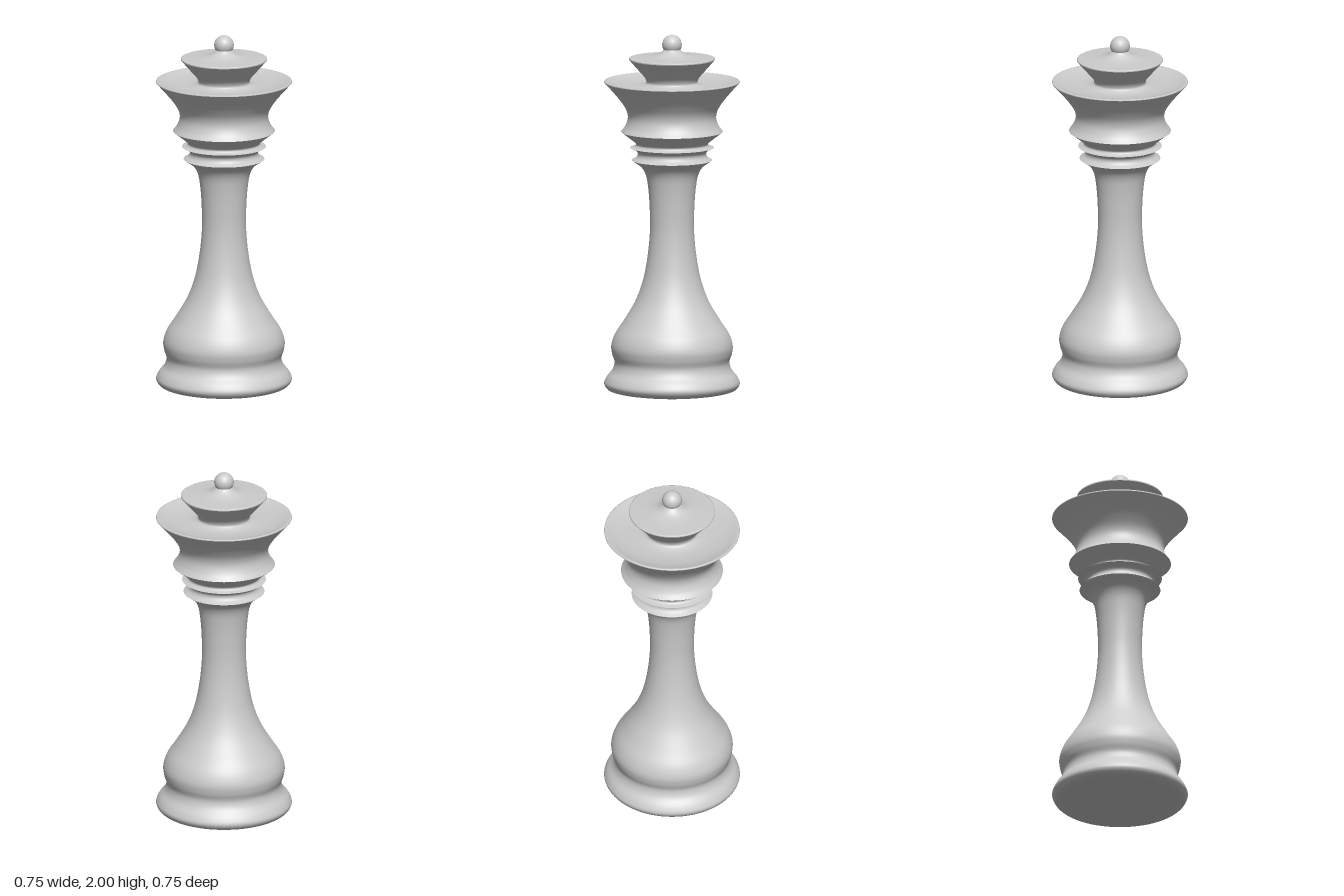
import * as THREE from 'three';

const material = new THREE.MeshStandardMaterial({ color: 0xcccccc, side: THREE.DoubleSide });

// Turns a smooth curve through [radius, height] points around the y axis
function turned(name, points, steps) {
  const curve = new THREE.CatmullRomCurve3(points.map(([r, y]) => new THREE.Vector3(r, y, 0)), false, 'centripetal');
  const profile = curve.getPoints(steps).map(p => new THREE.Vector2(Math.max(p.x, 0), p.y));
  const mesh = new THREE.Mesh(new THREE.LatheGeometry(profile, 96), material);
  mesh.name = name;
  return mesh;
}

export function createModel() {
  const group = new THREE.Group();
  group.name = 'chessPiece';

  // Each part ends at a sharp edge where the next begins
  const parts = [
    ['underside', [[0, 0], [0.15, 0.005], [0.25, 0.013], [0.32, 0.024]], 12],
    ['baseAndStem', [
      [0.32, 0.024], [0.355, 0.036], [0.373, 0.065], [0.36, 0.1], [0.326, 0.145], [0.316, 0.185],
      [0.329, 0.23], [0.334, 0.275], [0.316, 0.335], [0.265, 0.415], [0.203, 0.52], [0.162, 0.63],
      [0.136, 0.76], [0.122, 0.9], [0.122, 1.02], [0.131, 1.15], [0.145, 1.225], [0.17, 1.268], [0.222, 1.305]], 100],
    ['lowerCollar', [[0.222, 1.305], [0.194, 1.323], [0.188, 1.342], [0.198, 1.359], [0.23, 1.375]], 16],
    ['upperCollar', [[0.23, 1.375], [0.202, 1.384], [0.198, 1.396], [0.22, 1.417], [0.28, 1.463]], 16],
    ['crownCup', [
      [0.28, 1.463], [0.256, 1.497], [0.243, 1.54], [0.25, 1.58], [0.28, 1.63], [0.324, 1.684], [0.373, 1.738]], 36],
    ['crownRim', [[0.373, 1.738], [0.372, 1.744], [0.363, 1.745]], 4],
    ['crownDish', [[0.363, 1.745], [0.31, 1.729], [0.23, 1.719], [0.17, 1.721], [0.142, 1.735],
      [0.146, 1.757], [0.175, 1.793], [0.205, 1.827], [0.236, 1.863]], 36],
    ['capRim', [[0.236, 1.863], [0.236, 1.87], [0.23, 1.873]], 4],
    ['capTop', [[0.23, 1.873], [0.17, 1.876], [0.115, 1.882], [0.08, 1.892], [0.056, 1.908], [0.042, 1.925]], 24],
  ];
  for (const part of parts) group.add(turned(...part));

  // Ball on top
  const finial = new THREE.Mesh(new THREE.SphereGeometry(0.054, 48, 32), material);
  finial.name = 'finialBall';
  finial.position.y = 1.946;
  group.add(finial);
  return group;
}
